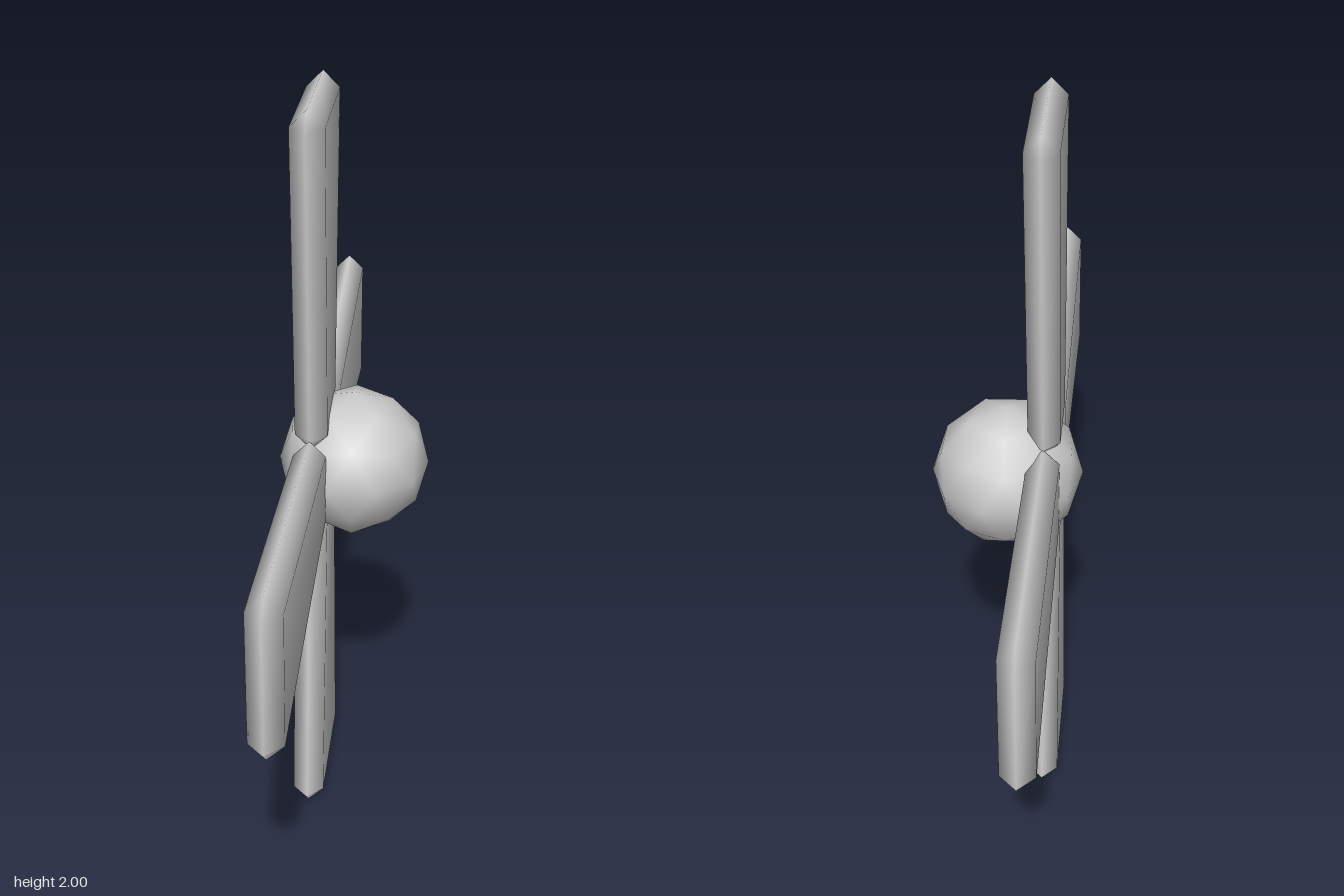
import * as THREE from 'three';

const material = new THREE.MeshStandardMaterial({ color: 0xcccccc });

// Tapered blade along +y: two flat faces bevelled down to a middle ridge.
function bladeGeometry(bevel = 0.042) {
  const corners = [[-0.095, 0.135], [0.095, 0.135], [0.172, 0.958], [-0.172, 0.958]];
  const outward = [[0, -bevel], [bevel, 0], [0, bevel], [-bevel, 0]];
  const points = [];
  for (const z of [bevel, -bevel]) corners.forEach(([x, y]) => points.push(x, y, z));
  // Ridge: each corner is pushed out across both of its sides
  corners.forEach(([x, y], i) => {
    for (const [ox, oy] of [outward[(i + 3) % 4], outward[i]]) points.push(x + ox, y + oy, 0);
  });

  const index = [];
  for (const back of [false, true]) {
    const tri = (a, b, c) => (back ? index.push(a, c, b) : index.push(a, b, c));
    const f = back ? 4 : 0;
    tri(f, f + 1, f + 2);
    tri(f, f + 2, f + 3);
    for (let i = 0; i < 4; i++) {
      const j = (i + 1) % 4;
      const r0 = 8 + 2 * i, r1 = r0 + 1, r2 = 8 + 2 * j;
      tri(r0, r1, f + i); // corner
      tri(r1, r2, f + j); // side
      tri(r1, f + j, f + i);
    }
  }
  const geometry = new THREE.BufferGeometry();
  geometry.setAttribute('position', new THREE.Float32BufferAttribute(points, 3));
  geometry.setIndex(index);
  geometry.computeVertexNormals();
  return geometry;
}

export function createModel() {
  const model = new THREE.Group();
  model.name = 'propeller';

  // Four blades in one plane, turned about the vertical
  const blades = new THREE.Group();
  blades.name = 'blades';
  const geometry = bladeGeometry();
  for (let i = 0; i < 4; i++) {
    const blade = new THREE.Mesh(geometry, material);
    blade.name = 'blade' + (i + 1);
    blade.rotation.z = (i * Math.PI) / 2;
    blades.add(blade);
  }
  blades.rotation.y = THREE.MathUtils.degToRad(70);
  blades.position.y = 1;
  model.add(blades);

  // Low-poly ball hub, one vertex pointing straight up
  const ball = new THREE.IcosahedronGeometry(0.198, 1);
  ball.rotateZ(-Math.atan(2 / (1 + Math.sqrt(5))));
  const hub = new THREE.Mesh(ball, material);
  hub.name = 'hub';
  hub.position.set(0.106, 1, 0);
  model.add(hub);

  return model;
}
